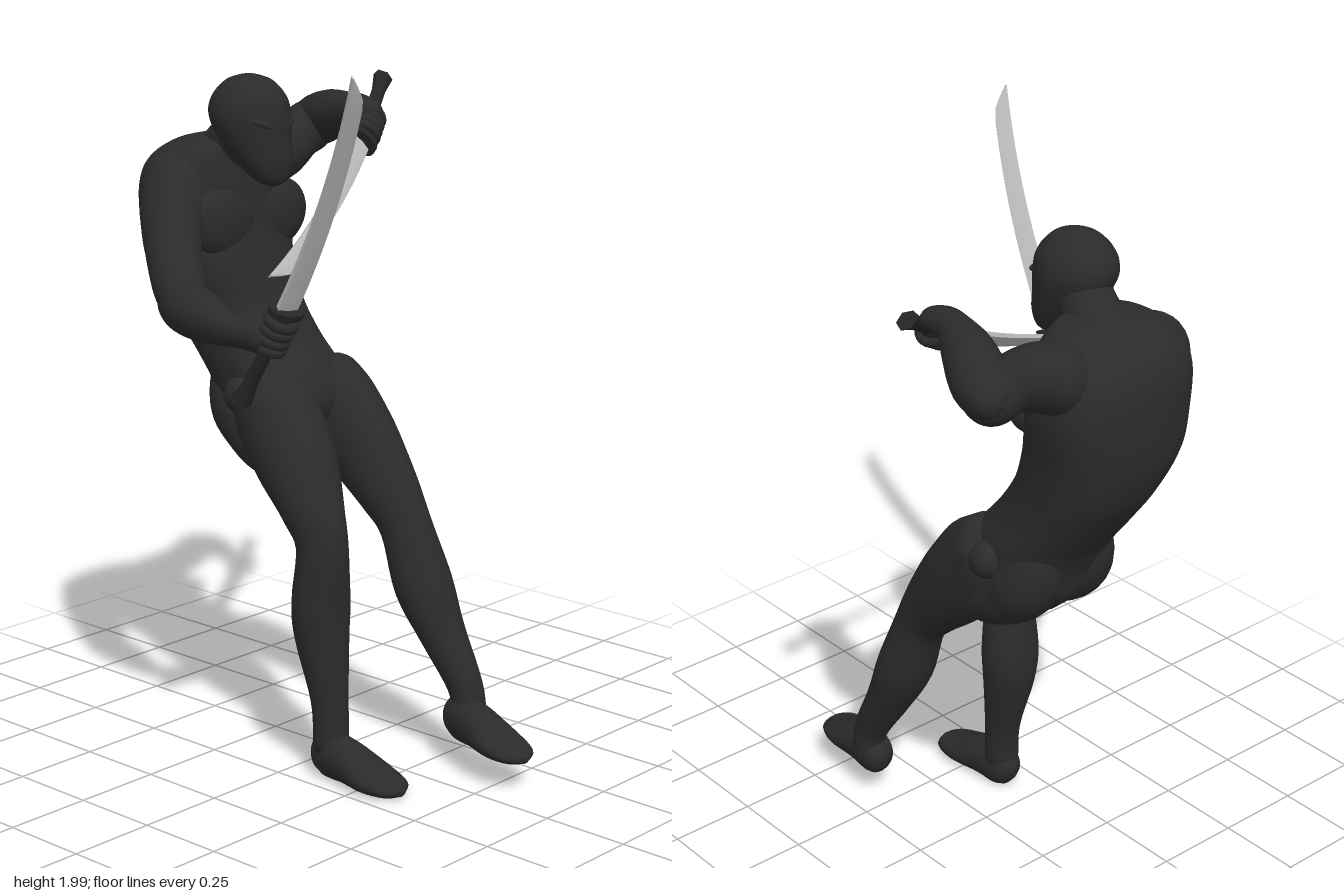
import * as THREE from 'three';

const suit = new THREE.MeshStandardMaterial({ color: 0x2b2b2b });
suit.name = 'charcoal suit';
const grip = new THREE.MeshStandardMaterial({ color: 0x262626 });
grip.name = 'dark grip';
const steel = new THREE.MeshStandardMaterial({ color: 0xbababa });
steel.name = 'steel';

const V = (x, y, z) => new THREE.Vector3(x, y, z);

function mesh(name, geometry, material = suit) {
  const m = new THREE.Mesh(geometry, material);
  m.name = name;
  return m;
}

// Smooth closed body from rows [x, y, z, radiusA, radiusB]; rings follow the path, or stay level
function loft(rows, { ref = V(1, 0, 0), level = false, floor = -1, sides = 28, square = 1 } = {}) {
  const path = new THREE.CatmullRomCurve3(rows.map(r => V(r[0], r[1], r[2])), false, 'catmullrom');
  const radii = new THREE.CatmullRomCurve3(rows.map(r => V(r[3], r[4] ?? r[3], 0)), false, 'catmullrom');
  const n = (rows.length - 1) * 5, pos = [], idx = [];
  const soft = v => Math.sign(v) * Math.abs(v) ** square;
  for (let i = 0; i <= n; i++) {
    const c = path.getPoint(i / n), r = radii.getPoint(i / n);
    const t = level ? V(0, 1, 0) : path.getTangent(i / n);
    const a = ref.clone().addScaledVector(t, -t.dot(ref)).normalize();
    const b = t.clone().cross(a);
    for (let j = 0; j < sides; j++) {
      const q = j / sides * Math.PI * 2;
      const p = c.clone()
        .addScaledVector(a, soft(Math.cos(q)) * Math.max(r.x, 0.002))
        .addScaledVector(b, soft(Math.sin(q)) * Math.max(r.y, 0.002));
      pos.push(p.x, Math.max(p.y, floor), p.z);
      if (i < n) {
        const k = (j + 1) % sides, A = i * sides + j, B = i * sides + k;
        idx.push(A, B, B + sides, A, B + sides, A + sides);
      }
    }
  }
  // end caps
  for (let j = 1; j < sides - 1; j++) {
    idx.push(0, j + 1, j, n * sides, n * sides + j, n * sides + j + 1);
  }
  const g = new THREE.BufferGeometry();
  g.setAttribute('position', new THREE.Float32BufferAttribute(pos, 3));
  g.setIndex(idx);
  g.computeVertexNormals();
  return g;
}

function ball(name, p, s, rotZ = 0) {
  const m = mesh(name, new THREE.SphereGeometry(1, 28, 18));
  m.position.set(...p);
  m.scale.set(...s);
  m.rotation.z = rotZ;
  return m;
}

// Foot with a flat sole; dx is the sideways drift from heel to toe
function foot(name, x, y, z, dx) {
  const rows = [
    [0, 0.05, 0, 0.015, 0.02], [0.04, 0.055, 0.02, 0.042, 0.05], [0.2, 0.06, 0.06, 0.052, 0.068],
    [0.42, 0.055, 0.13, 0.06, 0.06], [0.7, 0.035, 0.22, 0.072, 0.04],
    [0.92, 0.025, 0.295, 0.055, 0.024], [1, 0.02, 0.325, 0.015, 0.01],
  ].map(r => [x + dx * r[0], y + r[1], z + r[2], r[3], r[4]]);
  return mesh(name, loft(rows, { floor: y }));
}

// Curved sword with a gripping hand; local +y is the blade, +x its cutting edge, origin at the guard
function armedHand(name, guard, along, edge) {
  const g = new THREE.Group();
  g.name = name;
  const L = 0.7, W = 0.028;
  const blade = new THREE.BoxGeometry(2 * W, L, 0.018, 2, 24, 1);
  const p = blade.attributes.position;
  for (let i = 0; i < p.count; i++) {
    const t = p.getY(i) / L + 0.5;
    let x = p.getX(i) * (1 - 0.25 * t);
    const tip = Math.max(0, (t - 0.9) / 0.1);
    if (x > -W * 0.5) x += (-W * 0.6 - x) * tip ** 1.3;
    const thin = p.getX(i) > 0.01 ? 0.12 : 1;
    p.setXYZ(i, x + 0.085 * t * (1 - t), t * L, p.getZ(i) * thin * (1 - 0.4 * t));
  }
  blade.computeVertexNormals();
  g.add(mesh('blade', blade, steel));

  const guardMesh = mesh('guard', new THREE.CylinderGeometry(0.048, 0.048, 0.018, 20), grip);
  guardMesh.scale.z = 0.75;
  g.add(guardMesh);
  const hilt = new THREE.Group();
  hilt.name = 'hilt';
  hilt.rotation.z = -0.15;
  const handle = mesh('handle', new THREE.CylinderGeometry(0.02, 0.02, 0.25, 10), grip);
  handle.position.y = -0.125;
  const pommel = mesh('pommel', new THREE.CylinderGeometry(0.02, 0.03, 0.07, 6), grip);
  pommel.position.y = -0.268;
  handle.scale.z = pommel.scale.z = 0.75;
  hilt.add(handle, pommel);
  for (let i = 0; i < 4; i++) {
    const finger = mesh('finger', new THREE.TorusGeometry(0.031, 0.0145, 10, 20));
    finger.rotation.x = Math.PI / 2;
    finger.position.y = -0.035 - i * 0.026;
    finger.scale.x = 1.1;
    hilt.add(finger);
  }
  g.add(hilt);

  const y = V(...along).normalize(), x = V(...edge);
  x.addScaledVector(y, -x.dot(y)).normalize();
  g.setRotationFromMatrix(new THREE.Matrix4().makeBasis(x, y, x.clone().cross(y)));
  g.position.set(...guard);
  return g;
}

export function createModel() {
  const model = new THREE.Group();
  model.name = 'swordFighter';

  // Torso leaning back, with chest and hip masses
  model.add(mesh('torso', loft([
    [0.01, 0.855, -0.25, 0.03, 0.04], [0.01, 0.92, -0.225, 0.13, 0.13], [0.01, 1.0, -0.215, 0.175, 0.165],
    [0, 1.08, -0.245, 0.182, 0.172], [-0.012, 1.17, -0.312, 0.178, 0.17], [-0.025, 1.27, -0.375, 0.185, 0.172],
    [-0.046, 1.38, -0.408, 0.211, 0.175], [-0.045, 1.5, -0.425, 0.228, 0.165], [-0.05, 1.6, -0.425, 0.226, 0.16],
    [-0.055, 1.67, -0.415, 0.2, 0.14], [-0.065, 1.72, -0.385, 0.13, 0.1], [-0.07, 1.74, -0.37, 0.03, 0.03],
  ], { level: true, sides: 40, square: 0.82 })));
  for (const s of [-1, 1]) {
    model.add(ball('pectoral', [-0.045 + s * 0.098, 1.505, -0.295], [0.122, 0.1, 0.045], s * 0.15));
    model.add(mesh('glute', loft([
      [0.01 + s * 0.08, 1.14, -0.345, 0.02], [0.01 + s * 0.085, 1.08, -0.325, 0.07], [0.01 + s * 0.088, 0.99, -0.285, 0.1],
      [0.01 + s * 0.092, 0.93, -0.232, 0.098], [0.005 + s * 0.11, 0.88, -0.14, 0.085], [s * 0.12, 0.84, -0.05, 0.04],
    ])));
    model.add(ball('hipJoint', [0.005 + s * 0.174, 1.035, -0.21], [0.047, 0.053, 0.053]));
  }

  // Head and neck
  model.add(mesh('neck', loft([
    [-0.065, 1.62, -0.4, 0.1], [-0.075, 1.7, -0.335, 0.08], [-0.095, 1.78, -0.25, 0.07],
  ])));
  model.add(mesh('head', loft([
    [-0.088, 1.612, -0.162, 0.012, 0.012], [-0.088, 1.63, -0.17, 0.048, 0.046], [-0.092, 1.68, -0.192, 0.078, 0.078],
    [-0.098, 1.74, -0.22, 0.097, 0.104], [-0.1, 1.8, -0.236, 0.107, 0.118], [-0.1, 1.85, -0.238, 0.097, 0.107],
    [-0.1, 1.892, -0.238, 0.062, 0.07], [-0.1, 1.908, -0.238, 0.025, 0.028], [-0.1, 1.911, -0.238, 0.004, 0.004],
  ], { level: true })));
  for (const s of [-1, 1]) {
    const brow = ball('brow', [-0.099 + s * 0.04, 1.782, -0.136], [0.045, 0.012, 0.012], s * 0.35);
    brow.rotation.y = s * 0.35;
    model.add(brow);
  }

  // Legs
  model.add(mesh('leftLeg', loft([
    [0.12, 1.09, -0.2, 0.03], [0.12, 1.055, -0.172, 0.095, 0.092], [0.12, 0.98, -0.125, 0.104, 0.128],
    [0.127, 0.87, -0.03, 0.097, 0.12], [0.127, 0.75, 0.075, 0.082, 0.092], [0.132, 0.66, 0.132, 0.074, 0.074],
    [0.144, 0.5, 0.188, 0.088, 0.078], [0.154, 0.37, 0.25, 0.068, 0.064],
    [0.162, 0.23, 0.328, 0.047, 0.052], [0.164, 0.13, 0.345, 0.046, 0.05],
  ])));
  model.add(mesh('rightLeg', loft([
    [-0.11, 1.09, -0.2, 0.03], [-0.113, 1.055, -0.172, 0.097, 0.092], [-0.115, 0.98, -0.125, 0.11, 0.125],
    [-0.13, 0.87, -0.04, 0.112, 0.118], [-0.157, 0.76, 0.045, 0.088, 0.09], [-0.164, 0.66, 0.088, 0.07, 0.074],
    [-0.155, 0.5, 0.075, 0.086, 0.077], [-0.154, 0.4, 0.078, 0.078, 0.074],
    [-0.156, 0.22, 0.108, 0.052, 0.053], [-0.16, 0.08, 0.118, 0.05, 0.05],
  ])));
  model.add(foot('leftFoot', 0.168, 0.078, 0.27, -0.07));
  model.add(foot('rightFoot', -0.157, 0.005, 0.06, -0.012));

  // Left arm, raised and folded in front of the face
  const up = { ref: V(0, 1, 0) };
  model.add(mesh('leftUpperArm', loft([
    [0.08, 1.62, -0.43, 0.04], [0.12, 1.63, -0.435, 0.09], [0.2, 1.655, -0.425, 0.088, 0.094],
    [0.31, 1.682, -0.45, 0.074], [0.41, 1.695, -0.492, 0.075], [0.46, 1.7, -0.508, 0.05], [0.485, 1.7, -0.518, 0.008],
  ], up)));
  model.add(mesh('leftForearm', loft([
    [0.44, 1.69, -0.56, 0.015], [0.436, 1.698, -0.535, 0.052], [0.41, 1.715, -0.46, 0.075],
    [0.365, 1.748, -0.36, 0.068], [0.335, 1.772, -0.27, 0.047], [0.332, 1.775, -0.225, 0.042],
    [0.335, 1.757, -0.185, 0.042], [0.334, 1.745, -0.165, 0.015],
  ], up)));

  // Right arm, lowered and reaching forward
  model.add(mesh('rightUpperArm', loft([
    [-0.16, 1.65, -0.42, 0.03], [-0.2, 1.62, -0.41, 0.092], [-0.258, 1.55, -0.375, 0.093],
    [-0.328, 1.45, -0.305, 0.077], [-0.385, 1.36, -0.22, 0.072], [-0.402, 1.33, -0.188, 0.055], [-0.412, 1.31, -0.168, 0.01],
  ])));
  model.add(mesh('rightForearm', loft([
    [-0.38, 1.33, -0.265, 0.015], [-0.386, 1.328, -0.245, 0.05], [-0.408, 1.322, -0.17, 0.071],
    [-0.436, 1.31, -0.07, 0.063], [-0.462, 1.3, 0.04, 0.042], [-0.462, 1.3, 0.09, 0.04],
    [-0.445, 1.3, 0.145, 0.046], [-0.43, 1.3, 0.18, 0.015],
  ])));

  // Swords with their hands
  model.add(armedHand('leftSword', [0.26, 1.697, -0.153], [-0.6, -0.28, 0.238], [0.517, -0.66, 0.543]));
  model.add(armedHand('rightSword', [-0.43, 1.37, 0.212], [-0.065, 0.62, 0.308], [0.87, -0.15, 0.46]));
  return model;
}
